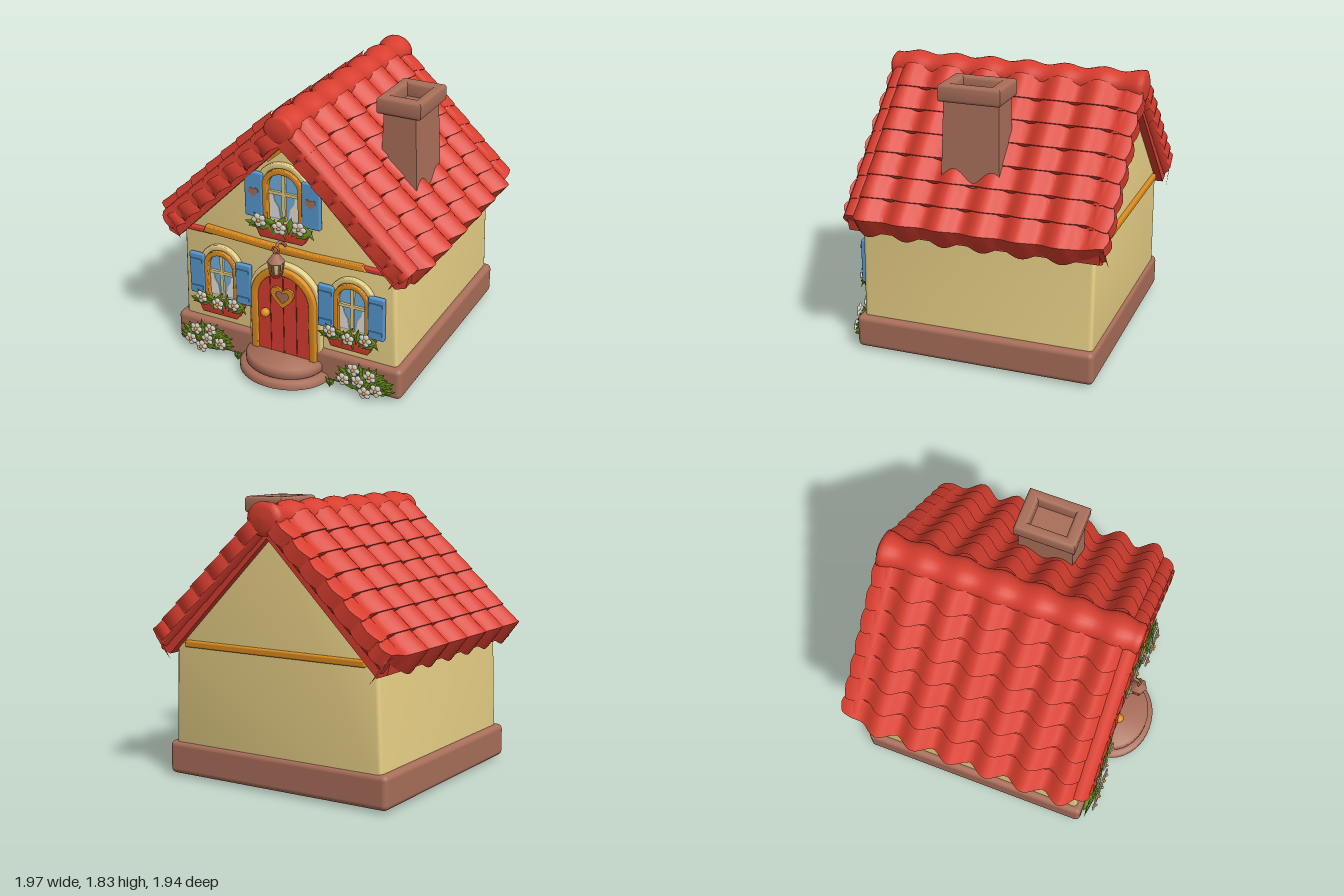
import * as THREE from 'three';
import { toCreasedNormals } from 'three/addons/utils/BufferGeometryUtils.js';
import { RoundedBoxGeometry } from 'three/addons/geometries/RoundedBoxGeometry.js';

const mat = (name, color) => Object.assign(new THREE.MeshStandardMaterial({ color }), { name });
const M = {
  red: mat('roof red', 0xd83e2f), cream: mat('cream plaster', 0xe8d086), brown: mat('brown stone', 0xa86e59),
  blue: mat('shutter blue', 0x5798d0), orange: mat('orange wood', 0xdd8c1e), green: mat('leaf green', 0x678a1c),
  white: mat('petal white', 0xf6f0e6), glass: mat('window glass', 0x74b0e2), dark: mat('dark seam', 0x7a2c22),
};

function add(parent, name, geo, m, x = 0, y = 0, z = 0) {
  const mesh = new THREE.Mesh(geo, m);
  mesh.name = name;
  mesh.position.set(x, y, z);
  parent.add(mesh);
  return mesh;
}
function group(parent, name, x = 0, y = 0, z = 0) {
  const g = new THREE.Group();
  g.name = name;
  g.position.set(x, y, z);
  parent.add(g);
  return g;
}
const poly = pts => new THREE.Shape(pts.map(p => new THREE.Vector2(p[0], p[1])));
// Extrusion from z0 to z1 with an inward bevel
function slab(shape, z0, z1, b = 0) {
  const g = new THREE.ExtrudeGeometry(shape, { depth: z1 - z0 - 2 * b, bevelEnabled: b > 0, bevelSize: b,
    bevelThickness: b, bevelOffset: -b, bevelSegments: 3, curveSegments: 14 });
  return toCreasedNormals(g.translate(0, 0, z0 + b), 0.7);
}
// Round-headed outline: half width, bottom, top
function arch(w, y0, y1) {
  const s = new THREE.Shape();
  s.moveTo(-w, y0);
  s.lineTo(w, y0);
  s.lineTo(w, y1 - w);
  s.absarc(0, y1 - w, w, 0, Math.PI, false);
  s.closePath();
  return s;
}
// Round-headed band of thickness t, open at the bottom
function archBand(w, y0, y1, t) {
  const s = new THREE.Shape();
  s.moveTo(w, y0);
  s.lineTo(w, y1 - w);
  s.absarc(0, y1 - w, w, 0, Math.PI, false);
  s.lineTo(-w, y0);
  s.lineTo(t - w, y0);
  s.lineTo(t - w, y1 - w);
  s.absarc(0, y1 - w, w - t, Math.PI, 0, true);
  s.lineTo(w - t, y0);
  s.closePath();
  return s;
}
function heart(r) {
  const s = new THREE.Shape();
  s.moveTo(0, -r);
  s.bezierCurveTo(r * 0.5, -r * 0.5, r * 1.1, -r * 0.1, r, r * 0.4);
  s.bezierCurveTo(r * 0.9, r * 0.95, r * 0.2, r * 0.95, 0, r * 0.45);
  s.bezierCurveTo(-r * 0.2, r * 0.95, -r * 0.9, r * 0.95, -r, r * 0.4);
  s.bezierCurveTo(-r * 1.1, -r * 0.1, -r * 0.5, -r * 0.5, 0, -r);
  return s;
}

const petalGeo = new THREE.SphereGeometry(0.021, 8, 6).scale(1, 1.1, 0.4);
const eyeGeo = new THREE.SphereGeometry(0.012, 8, 6);
const leafGeo = new THREE.OctahedronGeometry(1).scale(0.025, 0.065, 0.008);
function flower(parent, x, y, z) {
  const f = group(parent, 'flower', x, y, z);
  for (let i = 0; i < 5; i++) {
    const a = i * Math.PI * 0.4 + x * 7;
    add(f, 'petal', petalGeo, M.white, -Math.sin(a) * 0.024, Math.cos(a) * 0.024, 0).rotation.z = a;
  }
  add(f, 'flowerCentre', eyeGeo, M.orange, 0, 0, 0.01);
}
function leaf(parent, x, y, z, angle, s = 1) {
  const l = add(parent, 'leaf', leafGeo, M.green, x, y, z);
  l.rotation.set(-0.15, 0, angle);
  l.scale.setScalar(s);
}

// Arched window with shutters and flower box; the origin is the middle of the sill on the wall
function windowUnit(root, x, y, sx, sy, hearts) {
  const w = group(root, 'window', x, y, 0.675);
  w.scale.set(sx, sy, 1);
  add(w, 'windowHood', slab(archBand(0.16, 0, 0.385, 0.036), 0, 0.035, 0.008), M.cream);
  add(w, 'windowFrame', slab(archBand(0.127, -0.02, 0.345, 0.033), 0, 0.045, 0.006), M.orange);
  add(w, 'glass', slab(arch(0.1, 0, 0.317), 0.002, 0.011), M.glass);
  for (const s of [-1, 1]) {
    const c = [[0.1, 0.01], [0.025, 0.01], [0.035, 0.08], [0.06, 0.12], [0.07, 0.17], [0.1, 0.22]];
    add(w, 'curtain', slab(poly(c.map(p => [p[0] * s, p[1]])), 0.011, 0.016), M.white);
    add(w, 'shutter', new RoundedBoxGeometry(0.112, 0.3, 0.035, 2, 0.01), M.blue, s * 0.176, 0.15, 0.035);
    if (hearts) add(w, 'shutterHeart', slab(heart(0.032), 0, 0.005), M.brown, s * 0.176, 0.17, 0.051);
    else for (const ry of [0.05, 0.25])
      add(w, 'shutterRail', new THREE.BoxGeometry(0.09, 0.025, 0.012), M.blue, s * 0.176, ry, 0.053);
  }
  add(w, 'mullion', new THREE.BoxGeometry(0.022, 0.31, 0.02), M.cream, 0, 0.155, 0.018);
  add(w, 'crossbar', new THREE.BoxGeometry(0.19, 0.02, 0.02), M.cream, 0, 0.18, 0.018);
  const box = poly([[-0.13, -0.115], [0.13, -0.115], [0.17, -0.03], [-0.17, -0.03]]);
  add(w, 'flowerBox', slab(box, 0, 0.075, 0.012), M.red);
  for (let i = 0; i < 17; i++) {
    const t = i / 8 - 1;
    leaf(w, t * 0.17, -0.035 + (i % 3) * 0.022, 0.07 + (i % 2) * 0.012, -t * 1.9 + (i % 2 ? 0.6 : -0.5), 0.9);
  }
  [[-0.12, 0.01], [0.005, -0.015], [0.125, 0.01]].forEach(p => flower(w, p[0], p[1], 0.097));
}

// Roof: slope line y = 1.86 - 0.95|x|, tiles rolling along z in seven overlapping courses
const A = Math.atan(0.95), CA = Math.cos(A), SA = Math.sin(A), U0 = 0.14, STEP = 0.165;
const Z0 = -0.95, Z1 = 0.755;
const wave = z => Math.cos((z + 0.68) / 0.255 * Math.PI * 2);
const crest = z => ((1 + wave(z)) / 2) ** 0.8;
function course(i, side) {
  const N = 66, pos = [], idx = [], rows = 6, last = i === 6;
  for (let r = 0; r < rows; r++) for (let c = 0; c <= N; c++) {
    const t = Math.min(r / (rows - 2), 1), butt = r === rows - 1;
    const k = (THREE.MathUtils.clamp(c, 1, N - 1) - 1) / (N - 2);
    const z = THREE.MathUtils.lerp(Z0, Z1, k) + (k * 2 - 1) * 0.022 * Math.sin(Math.PI * t);
    const end = THREE.MathUtils.smoothstep(Math.abs(z + 0.095), 0.7, 0.86);
    let h = -0.032 + 0.065 * crest(z) + 0.011 * t - 0.06 * end;
    let u = U0 + (i + t) * STEP + t * 0.035 * (crest(z) - 0.4);
    if (last) u -= 0.06 * t * end;
    if (butt) {
      h = last ? -0.13 - 0.025 * crest(z) : h - 0.06;
      if (last) u += 0.02;
    }
    if (c === 0 || c === N) h -= 0.1;
    pos.push(side * (u * CA + h * SA), 1.86 - u * SA + h * CA, z);
  }
  for (let r = 0; r < rows - 1; r++) for (let c = 0; c < N; c++) {
    const a = r * (N + 1) + c, b = a + 1, d = a + N + 1, e = d + 1;
    if (side > 0) idx.push(a, b, d, b, e, d);
    else idx.push(a, d, b, b, d, e);
  }
  const g = new THREE.BufferGeometry();
  g.setAttribute('position', new THREE.Float32BufferAttribute(pos, 3));
  g.setIndex(idx);
  return toCreasedNormals(g, 0.8);
}
function buildRoof(root) {
  const roof = group(root, 'roof');
  const half = [[0.87, 0.93], [0.85, 0.855], [0.78, 0.83]];
  const outline = [[0, 1.77], ...half, [0, 1.61], ...half.map(p => [-p[0], p[1]]).reverse()];
  add(roof, 'roofDeck', slab(poly(outline.reverse()), -0.92, 0.73), M.red);
  for (const s of [-1, 1]) for (let i = 0; i < 7; i++) {
    add(roof, 'tileCourse', course(i, s), M.red);
    // Rounded tiles along both gable edges
    for (const z of [0.685, -0.875]) {
      const u = U0 + (i + (i === 6 ? 0.3 : 0.5)) * STEP, h = -0.093;
      const tile = add(roof, 'edgeTile', new THREE.CylinderGeometry(0.075, 0.08, i === 6 ? 0.17 : 0.19, 16), M.red,
        s * (u * CA + h * SA), 1.86 - u * SA + h * CA, z);
      tile.rotation.z = s * (Math.PI / 2 - A);
    }
  }
  // Rippled ridge cap
  const prof = [new THREE.Vector2(0, -0.97), new THREE.Vector2(0.07, -0.965)];
  for (let i = 0; i <= 50; i++) {
    const z = -0.95 + i * 0.034;
    prof.push(new THREE.Vector2(0.096 + 0.011 * wave(z), z));
  }
  prof.push(new THREE.Vector2(0.07, 0.765), new THREE.Vector2(0, 0.77));
  add(roof, 'ridgeCap', new THREE.LatheGeometry(prof, 24).rotateX(Math.PI / 2).scale(1.15, 1, 1), M.red, 0, 1.73, 0);
}

function buildChimney(root) {
  const c = group(root, 'chimney', 0.53, 0, -0.025);
  const body = new THREE.BoxGeometry(0.23, 0.65, 0.37, 1, 4, 1);
  const p = body.attributes.position;
  for (let i = 0; i < p.count; i++) {
    const k = 0.5 - p.getY(i) / 0.65;
    p.setX(i, p.getX(i) * (0.95 + 0.2 * k) + 0.01 * k);
    p.setZ(i, p.getZ(i) * (0.98 + 0.08 * k));
  }
  body.computeVertexNormals();
  add(c, 'chimneyStack', body, M.brown, 0, 1.4, 0);
  const rect = (w, d) => poly([[-w, -d], [w, -d], [w, d], [-w, d]]);
  const rim = rect(0.15, 0.205);
  rim.holes.push(rect(0.085, 0.125));
  add(c, 'chimneyCap', slab(rim, 0, 0.115, 0.022).rotateX(-Math.PI / 2), M.brown, 0, 1.705, 0);
}

function buildDoor(root) {
  const d = group(root, 'door', 0, 0.14, 0.66);
  add(d, 'doorHood', slab(archBand(0.265, 0.02, 0.665, 0.04), 0, 0.055, 0.01), M.cream);
  add(d, 'doorFrame', slab(archBand(0.237, 0, 0.637, 0.05), 0, 0.085, 0.01), M.orange);
  add(d, 'doorLeaf', slab(arch(0.19, 0, 0.595), 0, 0.07), M.red);
  for (const [x, h] of [[-0.095, 0.55], [0, 0.59], [0.095, 0.55]])
    add(d, 'plankSeam', new THREE.BoxGeometry(0.007, h, 0.006), M.dark, x, h / 2, 0.07);
  const ring = heart(0.082);
  ring.holes.push(heart(0.047));
  add(d, 'heartFrame', slab(ring, 0.07, 0.085), M.orange, 0, 0.435, 0);
  add(d, 'heartPane', slab(heart(0.052), 0.07, 0.078), M.brown, 0, 0.435, 0);
  add(d, 'doorKnob', new THREE.SphereGeometry(0.032, 14, 10), M.orange, -0.125, 0.295, 0.09);
  // Two rounded half-moon steps
  const prof = [[0, 0.02], [0.3, 0.02], [0.32, 0.03], [0.32, 0.06], [0.305, 0.075], [0.265, 0.08], [0.275, 0.09],
    [0.275, 0.135], [0.26, 0.15], [0, 0.152]].map(q => new THREE.Vector2(q[0], q[1]));
  const steps = new THREE.LatheGeometry(prof, 40).scale(1, 1, 0.83);
  add(root, 'doorSteps', toCreasedNormals(steps, 0.9), M.brown, 0, 0, 0.705);
}

function buildLantern(root) {
  const l = group(root, 'lantern', 0, 0, 0.81);
  const hook = new THREE.CatmullRomCurve3([[0, 0.9, -0.14], [0, 0.95, -0.1], [0, 0.985, -0.04], [0, 0.965, 0]]
    .map(q => new THREE.Vector3(...q)));
  add(l, 'lanternHook', new THREE.TubeGeometry(hook, 14, 0.01, 8), M.brown);
  add(l, 'lanternRing', new THREE.TorusGeometry(0.022, 0.007, 8, 16), M.brown, 0, 0.95, 0);
  add(l, 'lanternRoof', new THREE.CylinderGeometry(0.015, 0.06, 0.06, 6), M.brown, 0, 0.9, 0);
  add(l, 'lanternGlass', new THREE.CylinderGeometry(0.046, 0.034, 0.085, 6), M.cream, 0, 0.83, 0);
  add(l, 'lanternBase', new THREE.CylinderGeometry(0.045, 0.035, 0.022, 6), M.red, 0, 0.777, 0);
  for (let i = 0; i < 6; i++) {
    const a = i * Math.PI / 3;
    const bar = add(l, 'lanternBar', new THREE.BoxGeometry(0.012, 0.09, 0.012), M.brown,
      Math.sin(a) * 0.042, 0.83, Math.cos(a) * 0.042);
    bar.rotation.set(Math.cos(a) * 0.14, 0, -Math.sin(a) * 0.14);
  }
}

function buildBush(root, side) {
  const b = group(root, 'flowerBush', side * 0.59, 0, 0.73);
  add(b, 'bushCore', new THREE.SphereGeometry(1, 12, 8).scale(0.17, 0.09, 0.035), M.green, 0, 0.11, 0);
  for (let i = 0; i < 48; i++) {
    const a = i * 2.4, r = Math.sqrt((i + 0.5) / 48);
    const x = Math.cos(a) * r * 0.175, y = Math.max(0.115 + Math.sin(a) * r * 0.085, 0.06);
    leaf(b, x, y, 0.048 - r * 0.03, Math.atan2(-x, y - 0.06), 0.85);
  }
  [[-0.1, 0.1], [-0.055, 0.19], [0.03, 0.13], [0.06, 0.21], [0.13, 0.12], [-0.02, 0.06]]
    .forEach(p => flower(b, -p[0] * side, p[1], 0.057));
  for (const k of [-1, 0, 1]) leaf(b, -side * 0.245 + k * 0.015, 0.04, 0.02, -k * 0.5, 0.55);
}

export function createModel() {
  const root = new THREE.Group();
  root.name = 'cottage';
  // Stone footing and plaster walls with gables
  add(root, 'footing', new RoundedBoxGeometry(1.66, 0.22, 1.61, 3, 0.035), M.brown, 0, 0.13, -0.085);
  const wall = poly([[-0.79, 0.1], [0.79, 0.1], [0.765, 0.91], [0, 1.7], [-0.765, 0.91]]);
  add(root, 'walls', slab(wall, -0.87, 0.68, 0.03), M.cream);
  // Gable beams with red ends, and the peak trim
  const beam = poly([[-0.6, 0.895], [-0.3, 0.885], [0, 0.87], [0.3, 0.875], [0.58, 0.885], [0.55, 0.925], [0.2, 0.915],
    [-0.2, 0.925], [-0.58, 0.945]]);
  add(root, 'frontBeam', slab(beam, 0.67, 0.715, 0.008), M.orange);
  for (const s of [-1, 1])
    add(root, 'beamEnd', new RoundedBoxGeometry(0.22, 0.035, 0.04, 2, 0.01), M.red, s * 0.64, 0.9, 0.685);
  const peak = poly([[0, 1.63], [-0.13, 1.5], [-0.11, 1.48], [0, 1.575], [0.11, 1.48], [0.13, 1.5]]);
  add(root, 'peakTrim', slab(peak, 0.67, 0.695), M.orange);
  add(root, 'backBeam', new RoundedBoxGeometry(1.36, 0.045, 0.04, 2, 0.012), M.orange, 0, 0.9, -0.875);
  buildRoof(root);
  buildChimney(root);
  buildDoor(root);
  buildLantern(root);
  windowUnit(root, 0, 1.1, 1.15, 1.03, true);
  for (const s of [-1, 1]) {
    windowUnit(root, s * 0.478, 0.43, 1, 1, false);
    buildBush(root, s);
  }
  return root;
}
